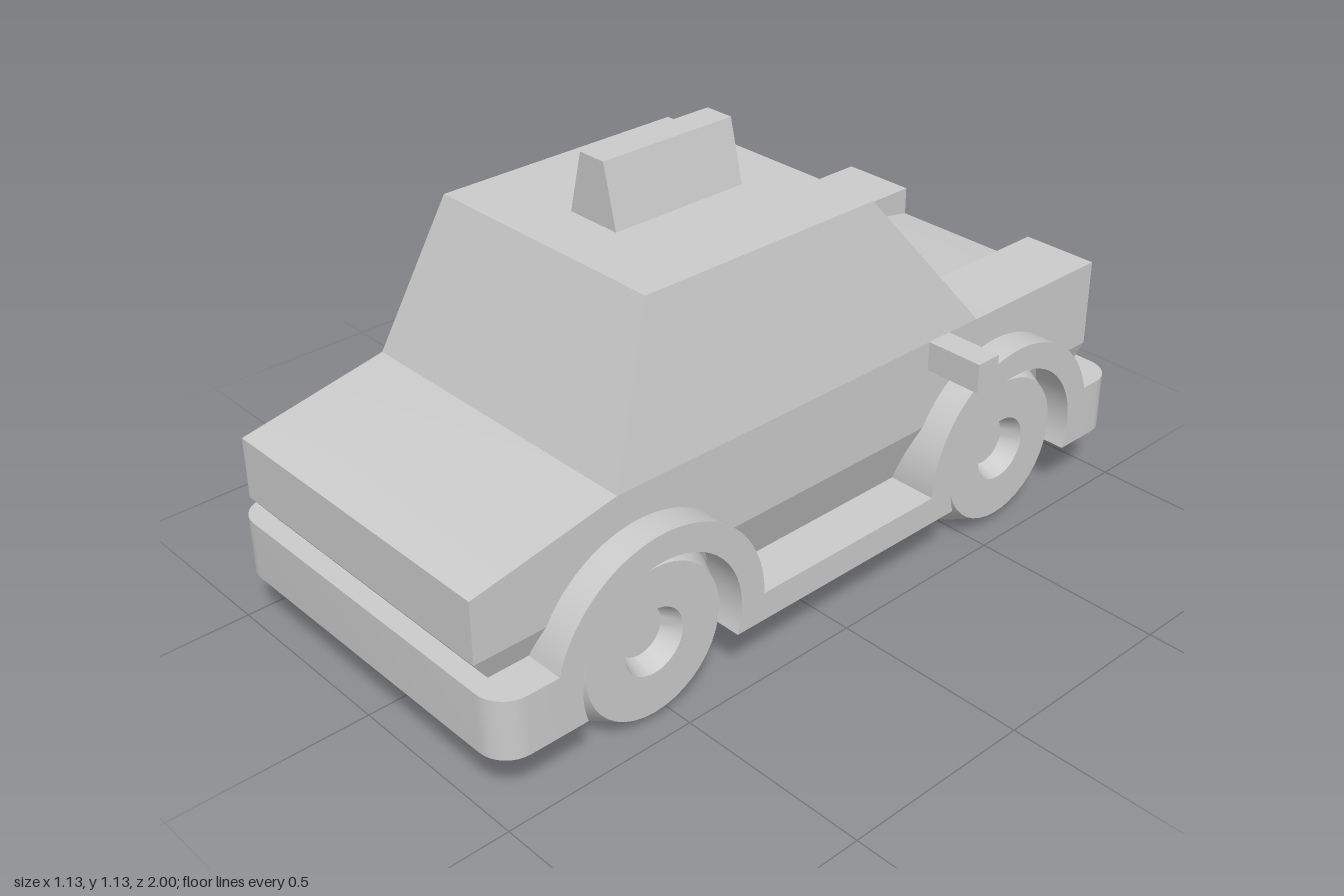
import * as THREE from 'three';
import { toCreasedNormals } from 'three/addons/utils/BufferGeometryUtils.js';

const material = new THREE.MeshStandardMaterial({ color: 0xcccccc });

function add(parent, name, geometry) {
  const mesh = new THREE.Mesh(geometry, material);
  mesh.name = name;
  parent.add(mesh);
  return mesh;
}

// Extrudes a side profile drawn in (z, y) from x0 to x1
function sideExtrude(shape, x0, x1, curveSegments = 24) {
  const g = new THREE.ExtrudeGeometry(shape, { depth: x1 - x0, bevelEnabled: false, curveSegments });
  g.rotateY(-Math.PI / 2).translate(x1, 0, 0);
  return toCreasedNormals(g, 0.5);
}

const polygon = (points) => new THREE.Shape(points.map(([a, b]) => new THREE.Vector2(a, b)));

// Box whose bottom and top rectangles differ: { y, x (half width), front, back }
function taperedBox(bottom, top) {
  const g = new THREE.BoxGeometry(1, 1, 1);
  const p = g.attributes.position;
  for (let i = 0; i < p.count; i++) {
    const e = p.getY(i) > 0 ? top : bottom;
    p.setXYZ(i, Math.sign(p.getX(i)) * e.x, e.y, p.getZ(i) > 0 ? e.front : e.back);
  }
  const flat = g.toNonIndexed();
  flat.computeVertexNormals();
  return flat;
}

const AXLE_Y = 0.228, FRONT_Z = 0.56, REAR_Z = -0.59;
const ARCH_OUTER = 0.295, ARCH_INNER = 0.226;

// Sill and both wheel arches as one side outline
function fenderShape() {
  const a = Math.asin((0.305 - AXLE_Y) / ARCH_OUTER);
  const b = Math.asin((AXLE_Y - 0.155) / ARCH_INNER);
  const s = new THREE.Shape();
  s.moveTo(0.9, 0.155);
  s.lineTo(0.9, 0.305);
  s.absarc(FRONT_Z, AXLE_Y, ARCH_OUTER, a, Math.PI, false);
  s.absarc(REAR_Z, AXLE_Y, ARCH_OUTER, 0, Math.PI - a, false);
  s.lineTo(-0.9, 0.305);
  s.lineTo(-0.9, 0.155);
  s.absarc(REAR_Z, AXLE_Y, ARCH_INNER, Math.PI + b, -b, true);
  s.absarc(FRONT_Z, AXLE_Y, ARCH_INNER, Math.PI + b, -b, true);
  s.closePath();
  return s;
}

// Bumper plan with rounded outer corners
function bumperGeometry() {
  const w = 0.49, r = 0.075, s = new THREE.Shape();
  s.moveTo(-w, 0.83);
  s.lineTo(w, 0.83);
  s.absarc(w - r, 1 - r, r, 0, Math.PI / 2, false);
  s.absarc(-w + r, 1 - r, r, Math.PI / 2, Math.PI, false);
  s.closePath();
  const g = new THREE.ExtrudeGeometry(s, { depth: 0.15, bevelEnabled: false, curveSegments: 4 });
  g.rotateX(Math.PI / 2).translate(0, 0.305, 0);
  return toCreasedNormals(g, 0.6);
}

// Wheel with chamfered tread and conical hub hole, outer side towards +x
function wheelGeometry() {
  const profile = [[0, -0.075], [0.226, -0.075], [0.226, 0.003], [0.19, 0.075],
    [0.083, 0.075], [0.063, 0.025], [0, 0.025]].map(([r, h]) => new THREE.Vector2(r, h));
  const g = new THREE.LatheGeometry(profile, 40);
  g.rotateZ(-Math.PI / 2);
  return toCreasedNormals(g, 0.35);
}

export function createModel() {
  const car = new THREE.Group();
  car.name = 'car';

  // Body: hood, waist and trunk with a sloping lid between two raised corners
  add(car, 'body', sideExtrude(polygon([
    [1, 0.375], [1, 0.53], [0.62, 0.605], [-0.56, 0.605], [-0.96, 0.53], [-0.96, 0.375],
  ]), -0.415, 0.415));
  const corner = polygon([[-0.56, 0.605], [-0.96, 0.605], [-0.96, 0.53]]);
  add(car, 'leftTrunkCorner', sideExtrude(corner, 0.21, 0.415));
  add(car, 'rightTrunkCorner', sideExtrude(corner, -0.415, -0.21));
  add(car, 'lowerBody', taperedBox(
    { y: 0.2, x: 0.353, front: 0.875, back: -0.91 },
    { y: 0.375, x: 0.415, front: 1, back: -0.96 }));

  // Cabin and roof sign
  add(car, 'cabin', taperedBox(
    { y: 0.605, x: 0.415, front: 0.62, back: -0.51 },
    { y: 0.982, x: 0.34, front: 0.47, back: -0.205 }));
  add(car, 'roofSign', taperedBox(
    { y: 0.98, x: 0.076, front: 0.32, back: -0.055 },
    { y: 1.135, x: 0.038, front: 0.32, back: -0.055 }));

  // Floor and bumpers
  const floor = new THREE.BoxGeometry(0.74, 0.073, 1.8);
  add(car, 'floor', floor.translate(0, 0.1915, 0));
  const bumper = bumperGeometry();
  add(car, 'frontBumper', bumper);
  add(car, 'rearBumper', bumper).rotation.y = Math.PI;

  // Fenders, mirrors and wheels on both sides
  const wheel = wheelGeometry();
  for (const [side, s] of [['left', 1], ['right', -1]]) {
    const x = s > 0 ? [0.36, 0.49] : [-0.49, -0.36];
    add(car, side + 'Fender', sideExtrude(fenderShape(), ...x));
    add(car, side + 'Mirror', new THREE.BoxGeometry(0.165, 0.075, 0.07))
      .position.set(s * 0.4825, 0.568, -0.375);
    for (const [end, z] of [['Front', FRONT_Z], ['Rear', REAR_Z]]) {
      const w = add(car, side + end + 'Wheel', wheel);
      w.position.set(s * 0.38, AXLE_Y, z);
      w.rotation.y = s > 0 ? 0 : Math.PI;
    }
  }
  return car;
}
